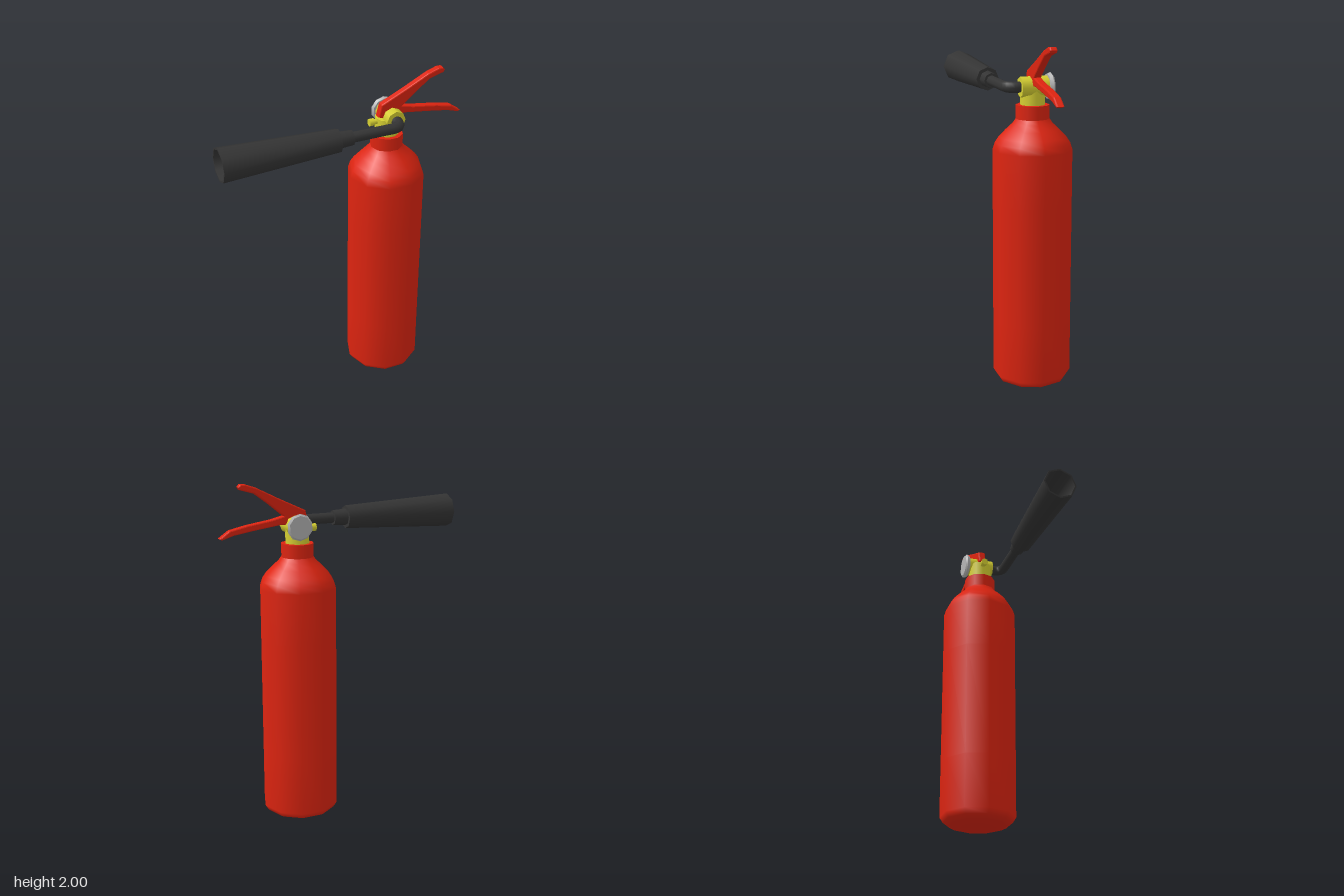
import * as THREE from 'three';

const mat = (name, color, side = THREE.FrontSide) => {
  const m = new THREE.MeshStandardMaterial({ color, side });
  m.name = name;
  return m;
};
const v2 = (pts) => pts.map(([x, y]) => new THREE.Vector2(x, y));

export function createModel() {
  const group = new THREE.Group();
  const red = mat('red paint', 0xdd2410);
  const yellow = mat('brass yellow', 0xd6d032);
  const black = mat('black rubber', 0x343434, THREE.DoubleSide);
  const silver = mat('gauge silver', 0xb4b4b4);
  const CX = 0.295, CZ = -0.022, VX = 0.315, VY = 1.755, HZ = 0.132;

  const add = (name, geo, material, x = 0, y = 0, z = 0) => {
    const mesh = new THREE.Mesh(geo, material);
    mesh.name = name;
    mesh.position.set(x, y, z);
    group.add(mesh);
    return mesh;
  };

  // Ten-sided tank with domed base and shoulder
  const tank = [[0, 0.004], [0.1, 0.01], [0.17, 0.025], [0.205, 0.043], [0.225, 0.075],
    [0.225, 0.4], [0.225, 1.1], [0.225, 1.4], [0.212, 1.44], [0.19, 1.473], [0.15, 1.515], [0.112, 1.55], [0.095, 1.575]];
  add('tank', new THREE.LatheGeometry(v2(tank), 10, Math.PI / 2), red, CX, 0, CZ);
  add('neck', new THREE.CylinderGeometry(0.095, 0.095, 0.1, 10, 1, false, Math.PI / 2), red, CX, 1.603, CZ);

  // Valve: stem, cross barrel and side nipple
  add('valveStem', new THREE.CylinderGeometry(0.07, 0.07, 0.11, 10, 1, false, Math.PI / 2), yellow, CX, 1.7, CZ);
  add('valveBarrel', new THREE.CylinderGeometry(0.058, 0.058, 0.16, 8).rotateX(Math.PI / 2), yellow, VX, VY, -0.022);
  add('nippleShank', new THREE.CylinderGeometry(0.016, 0.016, 0.08, 8).rotateZ(Math.PI / 2), yellow, 0.235, 1.735, CZ);
  add('nippleTip', new THREE.CylinderGeometry(0.022, 0.022, 0.03, 8).rotateZ(Math.PI / 2), yellow, 0.197, 1.735, CZ);

  // Pressure gauge on the back of the barrel
  add('gaugeRim', new THREE.CylinderGeometry(0.077, 0.07, 0.018, 10).rotateX(-Math.PI / 2), silver, VX, VY, -0.108);
  add('gaugeFace', new THREE.CylinderGeometry(0.066, 0.077, 0.01, 10).rotateX(-Math.PI / 2), silver, VX, VY, -0.122);

  // Hose: leaves the barrel forwards, then bends to the side
  const hosePath = new THREE.CurvePath();
  const p = (x, z) => new THREE.Vector3(x, VY, z);
  hosePath.add(new THREE.LineCurve3(p(VX, 0.04), p(VX, 0.075)));
  hosePath.add(new THREE.QuadraticBezierCurve3(p(VX, 0.075), p(VX, HZ), p(0.25, HZ)));
  hosePath.add(new THREE.LineCurve3(p(0.25, HZ), p(-0.01, HZ)));
  add('hose', new THREE.TubeGeometry(hosePath, 24, 0.031, 8), black);

  // Eight-sided horn, hollow at the mouth; its axis runs towards -x
  add('hornCollar', new THREE.CylinderGeometry(0.049, 0.044, 0.085, 8).rotateZ(Math.PI / 2), black, -0.035, VY, HZ);
  const hornPart = (name, pts) =>
    add(name, new THREE.LatheGeometry(v2(pts), 8).rotateZ(Math.PI / 2), black, 0, VY, HZ);
  hornPart('hornShell', [[0.068, 0.075], [0.1, 0.76]]);
  hornPart('hornBack', [[0, 0.075], [0.068, 0.075]]);
  hornPart('hornMouthRim', [[0.1, 0.76], [0.09, 0.76]]);
  hornPart('hornBore', [[0.09, 0.76], [0.062, 0.15]]);
  hornPart('hornBoreEnd', [[0.062, 0.15], [0, 0.15]]);

  // Levers: side outlines extruded with softened edges
  const lever = (name, pts) => {
    const geo = new THREE.ExtrudeGeometry(new THREE.Shape(v2(pts)), {
      depth: 0.028, bevelEnabled: true, bevelThickness: 0.008, bevelSize: 0.007, bevelOffset: -0.007, bevelSegments: 2,
    });
    add(name, geo, red, 0, 0, CZ - 0.014);
  };
  lever('upperLever', [[0.232, 1.765], [0.27, 1.75], [0.35, 1.775], [0.385, 1.815], [0.47, 1.885], [0.55, 1.945],
    [0.635, 1.97], [0.645, 1.985], [0.632, 2], [0.605, 2], [0.54, 1.978], [0.4, 1.908], [0.25, 1.838]]);
  lever('lowerLever', [[0.28, 1.76], [0.4, 1.763], [0.55, 1.742], [0.675, 1.722], [0.745, 1.7],
    [0.76, 1.708], [0.7, 1.75], [0.6, 1.772], [0.45, 1.795], [0.37, 1.815], [0.28, 1.815]]);

  return group;
}
